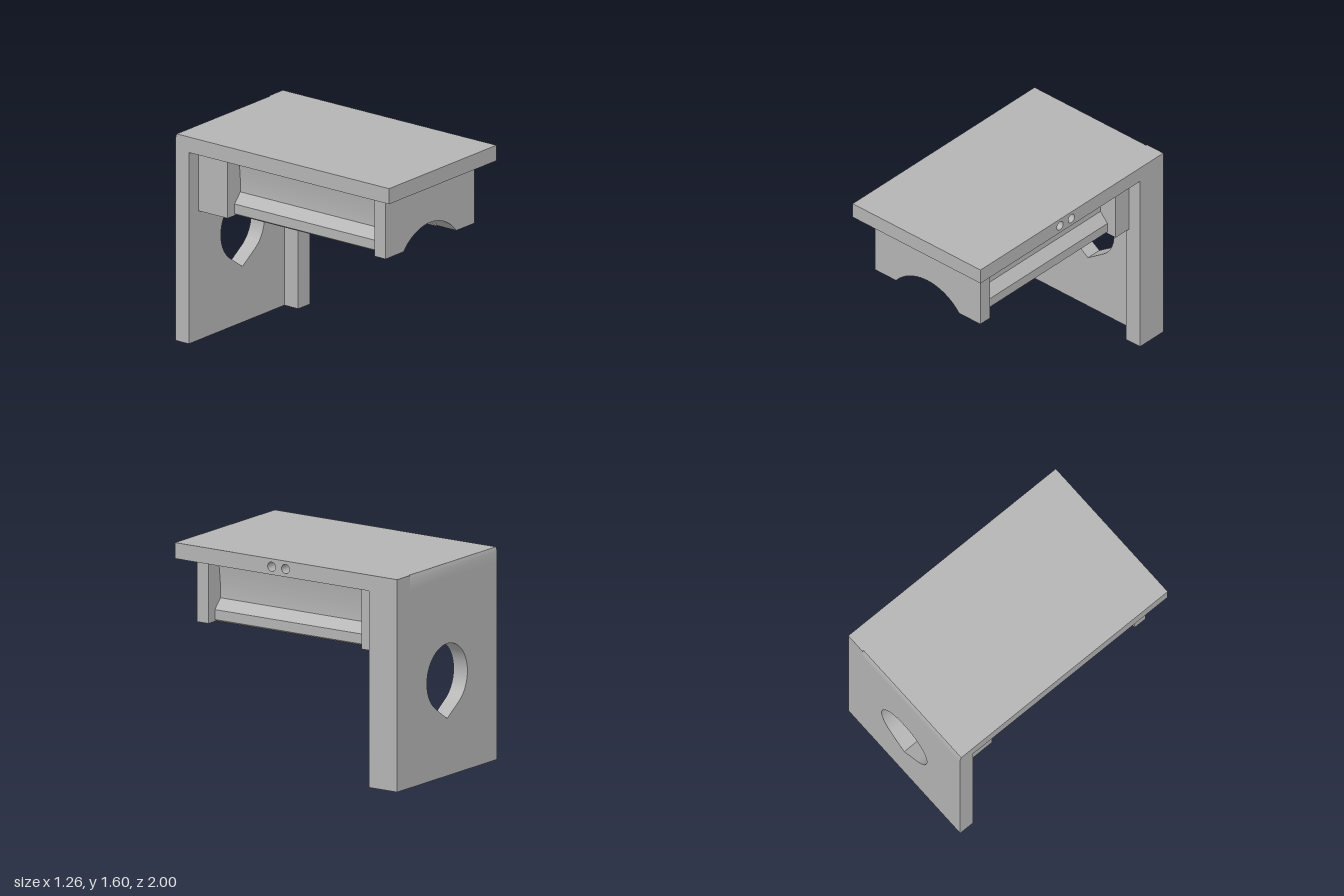
import * as THREE from 'three';
import { toCreasedNormals } from 'three/addons/utils/BufferGeometryUtils.js';

const HALF = 0.63, DECK_Y = 1.48, TOP = 1.6;
const CY = 0.741; // shared centre of the plate hole and the cradle arcs
const FOOT = 1.0; // underside of the cradle

export function createModel() {
  const group = new THREE.Group();
  const grey = new THREE.MeshStandardMaterial({ color: 0xb4b4b4 });
  const greyOpen = grey;

  const add = (name, geometry) => {
    const mesh = new THREE.Mesh(geometry, greyOpen);
    mesh.name = name;
    group.add(mesh);
    return mesh;
  };

  // Extrude a front-facing outline from z0 to z1
  const extrudeZ = (shape, z0, z1) => {
    const g = new THREE.ExtrudeGeometry(shape, { depth: z1 - z0, bevelEnabled: false, curveSegments: 40 });
    g.translate(0, 0, z0);
    return toCreasedNormals(g, 0.4);
  };

  // Extrude a side outline (drawn as -z, y) from x0 to x1
  const extrudeX = (shape, x0, x1) => {
    const g = new THREE.ExtrudeGeometry(shape, { depth: x1 - x0, bevelEnabled: false, curveSegments: 16 });
    g.translate(0, 0, x0);
    g.rotateY(Math.PI / 2);
    return toCreasedNormals(g, 0.4);
  };

  const polygon = (pts) => new THREE.Shape(pts.map(([x, y]) => new THREE.Vector2(x, y)));

  // Angle at which an arc of radius r meets the underside of the cradle
  const footAngle = (r) => Math.asin((FOOT - CY) / r);

  // Deck, with a fine chamfer along most of the rear top edge
  add('deck', extrudeX(polygon([
    [-1, DECK_Y], [1, DECK_Y], [1, TOP - 0.03], [0.99, TOP], [-1, TOP],
  ]), -HALF, 0.47));

  // Right edge of the deck, with two round dimples
  const edge = polygon([[-1, DECK_Y], [1, DECK_Y], [1, TOP], [-1, TOP]]);
  const dimpleR = 0.035, dimpleY = 1.54;
  for (const z of [0.13, 0.005]) {
    const hole = new THREE.Path();
    hole.absarc(-z, dimpleY, dimpleR, 0, Math.PI * 2, true);
    edge.holes.push(hole);
    const bowl = [];
    for (let i = 0; i <= 6; i++) {
      const a = (i / 6) * Math.PI / 2;
      bowl.push(new THREE.Vector2(dimpleR * Math.sin(a), -0.03 * Math.cos(a)));
    }
    const g = new THREE.LatheGeometry(bowl, 32);
    g.rotateZ(-Math.PI / 2);
    add('dimple', g).position.set(HALF, dimpleY, z);
  }
  add('deckEdge', extrudeX(edge, 0.47, HALF));

  // Back plate with a teardrop opening pointing down
  const plate = polygon([[-HALF, 0], [HALF, 0], [HALF, DECK_Y], [-HALF, DECK_Y]]);
  const r = 0.255, tipY = 0.432;
  const spread = Math.acos(r / (CY - tipY));
  const drop = new THREE.Path();
  drop.moveTo(0, tipY);
  drop.absarc(0, CY, r, -Math.PI / 2 + spread, Math.PI * 1.5 - spread, false);
  drop.lineTo(0, tipY);
  plate.holes.push(drop);
  add('backPlate', extrudeZ(plate, -1, -0.875));

  // Upright rib on one side of the back plate
  const rib = new THREE.BoxGeometry(0.14, DECK_Y, 0.13);
  rib.translate(0.56, DECK_Y / 2, -0.81);
  add('sideRib', rib);

  // Cradle outline: given right-hand side points, closed by an arched underside
  const archR = 0.404;
  const closeWithArch = (shape) => {
    const a = footAngle(archR);
    shape.lineTo(-archR * Math.cos(a), FOOT);
    shape.absarc(0, CY, archR, Math.PI - a, a, true);
    shape.closePath();
    return shape;
  };

  // End brackets
  const bracket = () => {
    const s = new THREE.Shape();
    s.moveTo(0.52, FOOT);
    s.lineTo(0.52, DECK_Y);
    s.lineTo(-0.52, DECK_Y);
    s.lineTo(-0.52, FOOT);
    return closeWithArch(s);
  };
  add('frontBracket', extrudeZ(bracket(), 0.775, 0.88));
  add('rearBracket', extrudeZ(bracket(), -0.875, -0.6));

  // Middle of the cradle: hollowed sides above a sloped ledge
  const core = new THREE.Shape();
  core.moveTo(0.42, FOOT);
  core.lineTo(0.44, 1.015);
  core.lineTo(0.44, 1.09);
  core.lineTo(0.37, 1.165);
  core.quadraticCurveTo(0.365, 1.3, 0.4, DECK_Y);
  core.lineTo(-0.4, DECK_Y);
  core.quadraticCurveTo(-0.365, 1.3, -0.37, 1.165);
  core.lineTo(-0.44, 1.09);
  core.lineTo(-0.44, 1.015);
  core.lineTo(-0.42, FOOT);
  add('cradleCore', extrudeZ(closeWithArch(core), -0.6, 0.775));

  // Shallow raised band lining the arch
  const innerR = 0.39, ai = footAngle(innerR), ao = footAngle(archR);
  const band = new THREE.Shape();
  band.absarc(0, CY, archR, ao, Math.PI - ao, false);
  band.absarc(0, CY, innerR, Math.PI - ai, ai, true);
  band.closePath();
  add('archBand', extrudeZ(band, 0.12, 0.7));

  return group;
}
